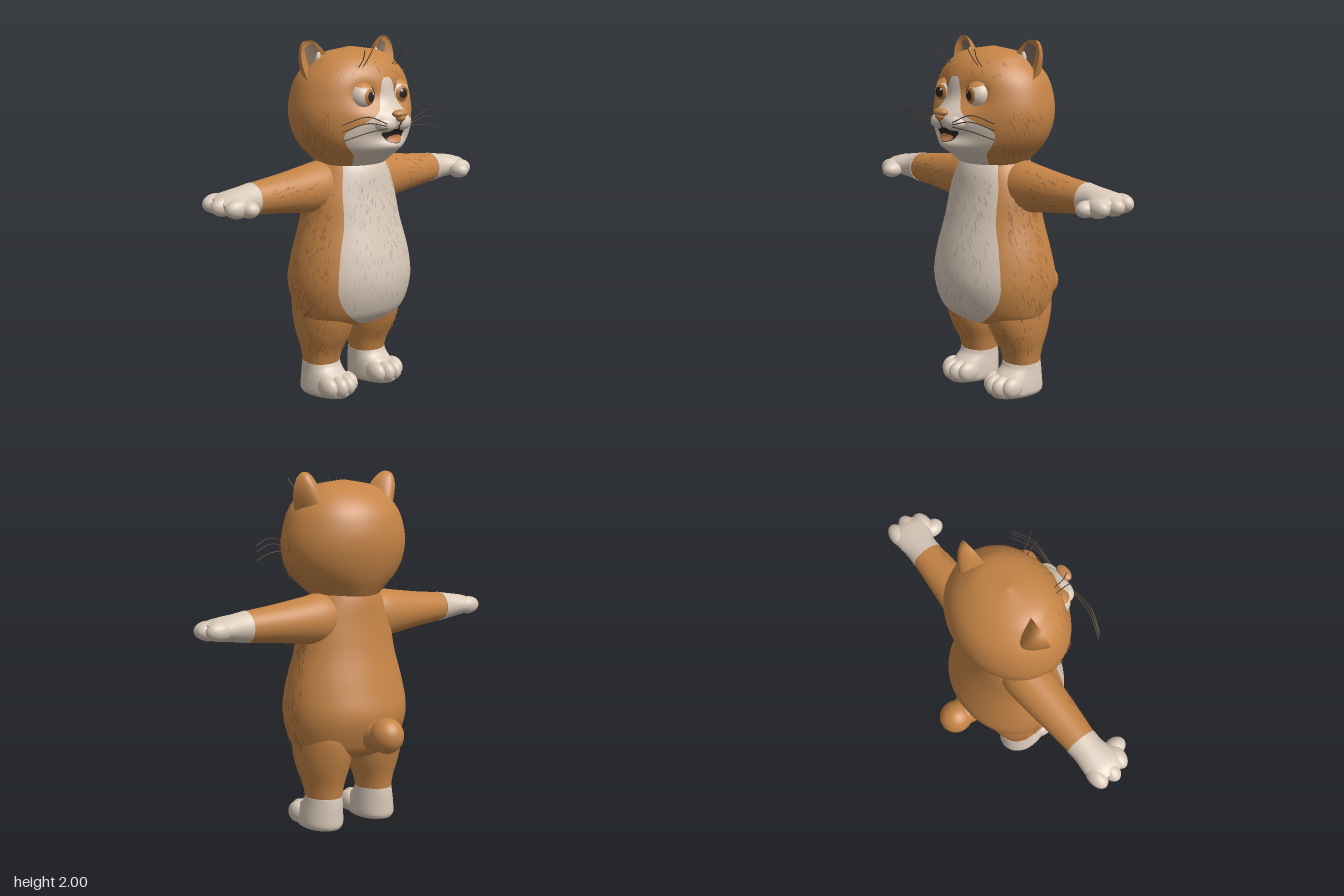
import * as THREE from 'three';
import { mergeVertices, mergeGeometries } from 'three/addons/utils/BufferGeometryUtils.js';

const mat = (name, color, side = THREE.FrontSide) => {
  const m = new THREE.MeshStandardMaterial({ color, side });
  m.name = name;
  return m;
};

// Smooth lookup in a table of rows [t, value, value, ...]
function at(table, t) {
  const n = table.length - 1;
  let i = 0;
  while (i < n - 1 && t > table[i + 1][0]) i++;
  const a = table[i], b = table[i + 1], p = table[Math.max(i - 1, 0)], q = table[Math.min(i + 2, n)];
  const h = b[0] - a[0], s = Math.min(Math.max((t - a[0]) / h, 0), 1), s2 = s * s, s3 = s2 * s;
  return a.slice(1).map((va, k) => {
    const j = k + 1, ma = (b[j] - p[j]) / (b[0] - p[0]), mb = (q[j] - a[j]) / (q[0] - a[0]);
    return va * (2 * s3 - 3 * s2 + 1) + b[j] * (3 * s2 - 2 * s3) + h * (ma * (s3 - 2 * s2 + s) + mb * (s3 - s2));
  });
}

// Smooth surface grid from a function f(u, v) -> [x, y, z]
function grid(f, nu, nv, flip = false) {
  const pos = [], idx = [];
  for (let j = 0; j <= nv; j++) for (let i = 0; i <= nu; i++) pos.push(...f(i / nu, j / nv));
  for (let j = 0; j < nv; j++) for (let i = 0; i < nu; i++) {
    const a = j * (nu + 1) + i, b = a + 1, c = a + nu + 1, d = c + 1;
    idx.push(...(flip ? [a, c, b, b, c, d] : [a, b, c, b, d, c]));
  }
  let g = new THREE.BufferGeometry();
  g.setAttribute('position', new THREE.Float32BufferAttribute(pos, 3));
  g.setIndex(idx);
  g = mergeVertices(g);
  g.computeVertexNormals();
  return g;
}

// Skin over rows [y, halfWidth, frontZ, backZ, centreX]; zc is the z of the widest line
function skin(table, zc, bump = () => 0) {
  const row = y => { const r = at(table, y); r[0] = Math.max(r[0], 0.002); return r; };
  return {
    point(y, a) {
      const [w, f, b, cx = 0] = row(y), c = Math.cos(a), x = w * Math.sin(a);
      return [cx + x, y, zc + (c > 0 ? (f - zc) * c + bump(x, y) * Math.min(1, c * 3) : (zc - b) * c)];
    },
    front(x, y) {
      const [w, f] = row(y), c = Math.sqrt(Math.max(0, 1 - (x / w) ** 2));
      return zc + (f - zc) * c + bump(x, y) * Math.min(1, c * 3);
    },
    loft(nu = 64, nv = 48) {
      const y0 = table[0][0], y1 = table[table.length - 1][0];
      return grid((u, v) => {
        const s = Math.min(Math.max((v * nv - 1) / (nv - 2), 0), 1);
        const y = y0 + (y1 - y0) * (1 - Math.cos(Math.PI * s)) / 2;
        if (v === 0 || v === 1) { const [, f, b, cx = 0] = row(y); return [cx, y, (f + b) / 2]; }
        return this.point(y, u * Math.PI * 2);
      }, nu, nv);
    },
    // Thin marking on the front; rows [y, halfWidth]
    patch(rows, off) {
      const y0 = rows[0][0], y1 = rows[rows.length - 1][0];
      return grid((u, v) => {
        const y = y0 + (y1 - y0) * v, x = (u * 2 - 1) * Math.max(at(rows, y)[0], 0.002);
        return [x, y, this.front(x, y) + off];
      }, 32, 48);
    },
  };
}

const ball = (x, y, z, rx, ry = rx, rz = rx) => new THREE.SphereGeometry(1, 28, 20).scale(rx, ry, rz).translate(x, y, z);
const tube = (pts, r) => new THREE.TubeGeometry(new THREE.CatmullRomCurve3(pts.map(p => new THREE.Vector3(...p))), 12, r, 5);

let seed = 7;
const rnd = () => (seed = (seed * 16807) % 2147483647) / 2147483647;
const between = (a, b) => a + (b - a) * rnd();
const sign = () => (rnd() < 0.5 ? -1 : 1);

// Thin pointed hair locks scattered over a skin, hanging down and outward
function locks(count, surf, pick, len, wid) {
  const pos = [], V = p => new THREE.Vector3(...p);
  for (let k = 0; k < count; k++) {
    const [y, a] = pick(), p = V(surf.point(y, a));
    const down = V(surf.point(y - 0.01, a)).sub(p).normalize();
    const across = V(surf.point(y, a + 0.02)).sub(p).normalize();
    const n = new THREE.Vector3().crossVectors(down, across).normalize();
    const dir = down.addScaledVector(across, Math.sign(a) * between(0.1, 0.6)).normalize();
    const side = new THREE.Vector3().crossVectors(n, dir);
    const L = len * between(0.6, 1.3), W = wid * between(0.6, 1.2);
    const top = p.clone().addScaledVector(n, 0.003), tip = p.clone().addScaledVector(dir, L).addScaledVector(n, 0.006);
    const mid = p.clone().addScaledVector(dir, L * 0.45).addScaledVector(n, 0.006);
    const l = mid.clone().addScaledVector(side, -W), r = mid.clone().addScaledVector(side, W);
    for (const q of [top, l, r, l, tip, r]) pos.push(q.x, q.y, q.z);
  }
  const g = new THREE.BufferGeometry();
  g.setAttribute('position', new THREE.Float32BufferAttribute(pos, 3));
  g.computeVertexNormals();
  return g;
}

export function createModel() {
  const root = new THREE.Group();
  root.name = 'standingCat';
  const fur = mat('orangeFur', 0xc58446), cream = mat('creamFur', 0xd9c9b9);
  const furShade = mat('darkOrangeFur', 0xa66c38, THREE.DoubleSide), creamShade = mat('greyFur', 0xb9aa9c, THREE.DoubleSide);
  const dark = mat('dark', 0x2c2420), whiskerMat = mat('whisker', 0x54463b), iris = mat('iris', 0xb4742f);
  const noseMat = mat('nose', 0xc0834c), tongueMat = mat('tongue', 0xc27c4e), earMat = mat('innerEar', 0x84705f, THREE.DoubleSide);
  const add = (name, geo, m) => {
    const mesh = new THREE.Mesh(geo, m);
    mesh.name = name;
    root.add(mesh);
  };
  // Adds a left part and its mirrored right twin
  const pair = (name, geo, m) => {
    add(name + 'Left', geo, m);
    const g = geo.clone().scale(-1, 1, 1), ix = g.index.array;
    for (let i = 0; i < ix.length; i += 3) [ix[i], ix[i + 1]] = [ix[i + 1], ix[i]];
    add(name + 'Right', g, m);
  };

  // Body and bib
  const body = skin([[0.375, 0.02, 0.05, -0.05], [0.4, 0.2, 0.16, -0.14], [0.44, 0.305, 0.24, -0.205], [0.5, 0.345, 0.3, -0.245],
    [0.65, 0.375, 0.345, -0.29], [0.8, 0.36, 0.332, -0.26], [1.0, 0.31, 0.28, -0.21], [1.15, 0.285, 0.245, -0.185],
    [1.3, 0.22, 0.215, -0.17], [1.4, 0.16, 0.15, -0.14]], 0.02);
  add('body', body.loft(), fur);
  add('bellyBib', body.patch([[0.415, 0.05], [0.43, 0.11], [0.5, 0.215], [0.6, 0.278], [0.7, 0.287], [0.85, 0.262], [1.0, 0.22],
    [1.2, 0.197], [1.36, 0.15]], 0.007), cream);
  add('bodyFurLocks', locks(260, body, () => [between(0.5, 1.2), sign() * between(0.98, 1.75)], 0.05, 0.006), furShade);
  add('bellyFurLocks', locks(170, body, () => [between(0.5, 1.28), between(-0.65, 0.65)], 0.045, 0.004).translate(0, 0, 0.006), creamShade);

  // Head with muzzle, chin and eye hollows
  const hill = (x, y, cx, cy, sx, sy) => Math.exp(-(((x - cx) / sx) ** 2) - ((y - cy) / sy) ** 2);
  const head = skin([[1.28, 0.16, 0.16, -0.14], [1.35, 0.23, 0.25, -0.185], [1.42, 0.305, 0.315, -0.225], [1.5, 0.355, 0.335, -0.255],
    [1.6, 0.375, 0.338, -0.275], [1.7, 0.362, 0.325, -0.27], [1.8, 0.325, 0.305, -0.235], [1.88, 0.255, 0.255, -0.16],
    [1.93, 0.175, 0.175, -0.07], [1.957, 0.01, 0.05, 0.03]], 0.04,
  (x, y) => 0.07 * hill(x, y, 0, 1.58, 0.13, 0.07) + 0.06 * hill(x, y, 0, 1.435, 0.12, 0.045)
    - 0.035 * hill(Math.abs(x), y, 0.135, 1.71, 0.07, 0.07));
  add('head', head.loft(72, 64), fur);
  add('faceBlaze', head.patch([[1.32, 0.13], [1.38, 0.17], [1.45, 0.235], [1.52, 0.255], [1.57, 0.18], [1.62, 0.105], [1.68, 0.066],
    [1.75, 0.048], [1.79, 0.036], [1.805, 0.02]], 0.007), cream);
  add('cheekFurLocks', locks(100, head, () => [between(1.42, 1.66), sign() * between(0.95, 1.6)], 0.05, 0.005), furShade);
  add('foreheadFurLocks', locks(30, head, () => [between(1.8, 1.9), sign() * between(0.05, 1.1)], 0.04, 0.004), furShade);

  // Muzzle, nose and open mouth
  pair('muzzlePad', ball(0.055, 1.562, 0.362, 0.075, 0.044, 0.052), cream);
  add('nose', mergeGeometries([ball(0, 1.618, 0.413, 0.052, 0.022, 0.032), ball(0, 1.598, 0.415, 0.03, 0.024, 0.028)]), noseMat);
  add('lipLine', tube([[0, 1.58, 0.427], [0, 1.555, 0.412], [0, 1.53, 0.4]], 0.003), dark);
  add('mouth', head.patch([[1.455, 0.01], [1.464, 0.045], [1.49, 0.07], [1.51, 0.085], [1.535, 0.07]], 0.013), dark);
  add('tongue', head.patch([[1.459, 0.01], [1.466, 0.04], [1.48, 0.054], [1.495, 0.04], [1.501, 0.004]], 0.018), tongueMat);

  // Eyes
  const cap = (r, theta, rx, ry) => new THREE.SphereGeometry(r, 28, 10, 0, Math.PI * 2, 0, theta).rotateX(rx).rotateY(ry).translate(0.135, 1.71, 0.25);
  pair('eyeball', ball(0.135, 1.71, 0.25, 0.073), cream);
  pair('iris', cap(0.0745, 0.62, Math.PI / 2, -0.14), iris);
  pair('pupil', cap(0.0758, 0.37, Math.PI / 2, -0.14), dark);
  pair('eyeGlint', cap(0.0766, 0.09, Math.PI / 2 - 0.22, -0.32), cream);
  pair('upperEyelid', cap(0.079, 0.66, 0.3, 0.2), fur);
  pair('eyeRim', new THREE.TorusGeometry(0.066, 0.003, 6, 32).rotateY(0.3).translate(0.138, 1.71, 0.278), whiskerMat);

  // Ears: broad rounded cups, the opening towards the crown
  const ear = (depth, lo, hi, top, off, flip) => grid((u, v) => {
    const s = lo + (hi - lo) * u, t = v * top, up = t * 0.22 - 0.02;
    const across = s * 0.095 * Math.pow(Math.max(0, 1 - Math.pow(t, 2.8)), 0.55);
    return [0.24 + up * 0.36 + across * 0.9, 1.815 + up * 0.925 - across * 0.42,
      0.055 - 0.045 * t - depth * (1 - s * s) * Math.sqrt(1 - t) + off];
  }, 20, 20, flip);
  pair('earBack', ear(0.14, -1, 1, 1, 0, true), fur);
  pair('earFront', ear(0.05, -1, 1, 1, 0, false), fur);
  pair('innerEar', ear(0.05, -0.75, 0.3, 0.84, 0.005, false), earMat);
  pair('earTuft', ball(0.222, 1.89, 0.012, 0.018, 0.05, 0.018), cream);

  // Whiskers and brow hairs
  for (const [i, y] of [1.62, 1.585, 1.535].entries())
    pair('whisker' + i, tube([[0.09, 1.57 - i * 0.012, 0.405], [0.24, y, 0.4], [0.375, y - 0.035, 0.355]], 0.003), whiskerMat);
  for (const i of [0, 1])
    pair('browHair' + i, tube([[0.11 + i * 0.03, 1.86, 0.24], [0.12 + i * 0.035, 1.91, 0.29], [0.115 + i * 0.06, 1.96, 0.32]], 0.0025), whiskerMat);

  // Arms, built upright then laid out sideways
  const arm = skin([[0.05, 0.12, 0.11, -0.11], [0.2, 0.145, 0.132, -0.135], [0.3, 0.132, 0.125, -0.13], [0.5, 0.105, 0.108, -0.11],
    [0.7, 0.084, 0.088, -0.09]], 0);
  const layOut = g => g.rotateZ(-Math.PI / 2).translate(0, 1.192, 0);
  pair('arm', layOut(arm.loft(40, 24)), fur);
  for (const side of [1, -1])
    add('armFurLocks' + (side > 0 ? 'Left' : 'Right'),
      layOut(locks(40, arm, () => [between(0.3, 0.66), between(-1, 1)], 0.04, 0.004)).scale(side, 1, 1), furShade);

  // Hands with fingers, thumb and palm pad
  const hand = skin([[0.695, 0.087, 0.091, -0.093], [0.76, 0.076, 0.093, -0.09], [0.84, 0.064, 0.118, -0.097], [0.9, 0.052, 0.115, -0.095],
    [0.94, 0.03, 0.08, -0.07]], 0);
  pair('hand', layOut(hand.loft(36, 20)), cream);
  for (const [i, [x, y, z]] of [[0.895, 1.19, -0.055], [0.905, 1.185, 0.025], [0.872, 1.178, 0.1]].entries())
    pair('finger' + i, ball(x, y, z, 0.078, 0.052, 0.05), cream);
  pair('thumb', ball(0.825, 1.172, 0.13, 0.05, 0.045, 0.064), cream);
  pair('palmPad', ball(0.82, 1.13, 0.01, 0.03, 0.009, 0.03), noseMat);

  // Legs, socks and toes
  const leg = skin([[0.16, 0.1, 0.08, -0.125, 0.184], [0.25, 0.115, 0.11, -0.14, 0.183], [0.35, 0.143, 0.165, -0.17, 0.182],
    [0.45, 0.152, 0.2, -0.195, 0.183], [0.55, 0.145, 0.2, -0.2, 0.185], [0.7, 0.11, 0.15, -0.15, 0.18]], 0);
  pair('leg', leg.loft(40, 30), fur);
  for (const side of [1, -1])
    add('legFurLocks' + (side > 0 ? 'Left' : 'Right'),
      locks(40, leg, () => [between(0.25, 0.44), between(-0.5, 1.4)], 0.045, 0.005).scale(side, 1, 1), furShade);
  const foot = skin([[0, 0.1, 0.185, -0.125, 0.19], [0.02, 0.115, 0.205, -0.135, 0.19], [0.08, 0.114, 0.195, -0.135, 0.188],
    [0.125, 0.109, 0.145, -0.135, 0.186], [0.155, 0.106, 0.105, -0.133, 0.185], [0.182, 0.104, 0.09, -0.13, 0.184]], 0);
  pair('foot', foot.loft(40, 24), cream);
  for (const [i, [x, z]] of [[0.113, 0.13], [0.162, 0.16], [0.217, 0.16], [0.266, 0.125]].entries())
    pair('toe' + i, ball(x, 0.066, z, 0.043, 0.06, 0.07), cream);

  // Round tail on a short stem
  add('tail', ball(0, 0.56, -0.346, 0.095, 0.1, 0.099), fur);
  add('tailStem', new THREE.CylinderGeometry(0.075, 0.1, 0.12, 28).rotateX(-Math.PI / 2).translate(0, 0.56, -0.28), fur);
  return root;
}
